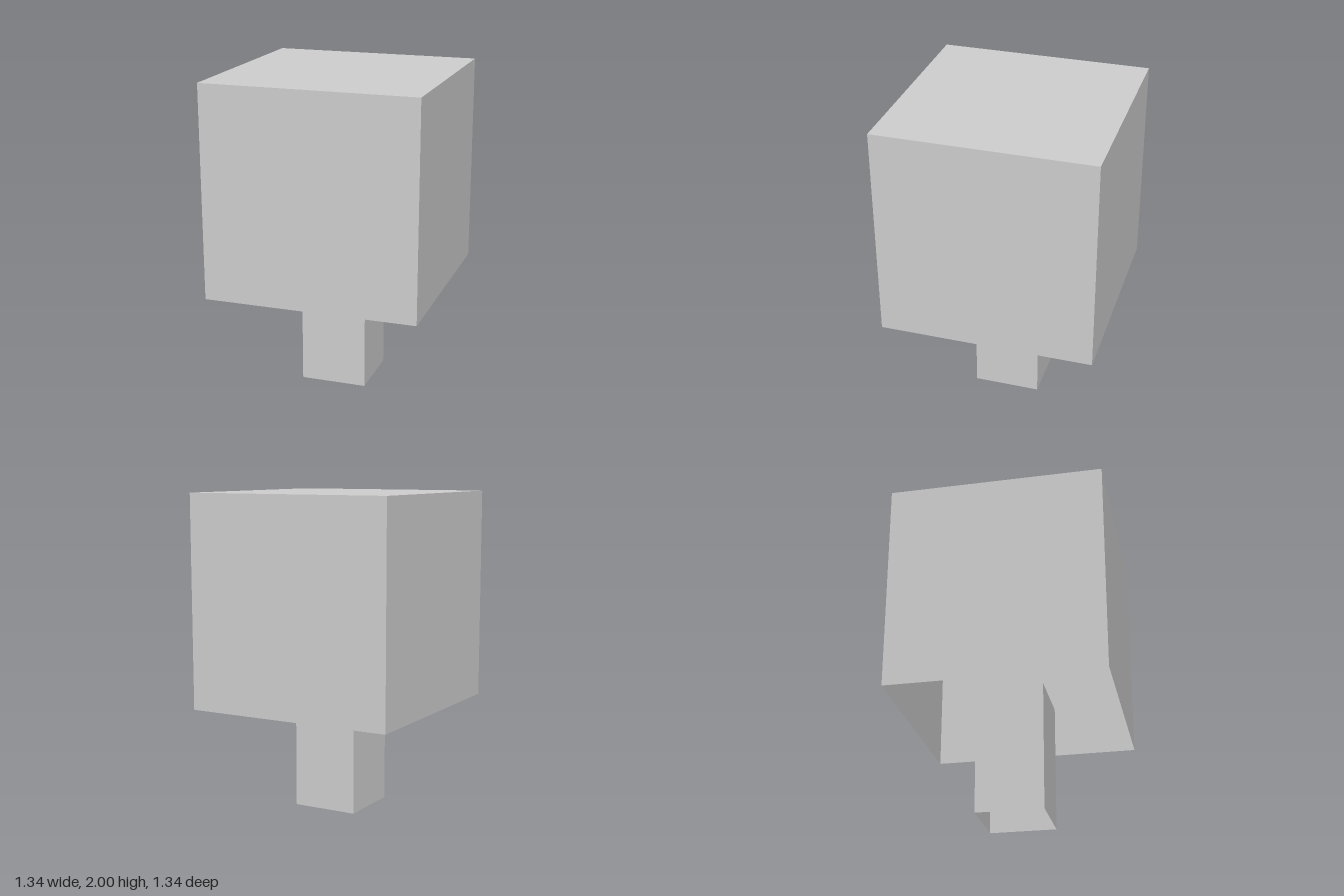
import * as THREE from 'three';

const material = new THREE.MeshStandardMaterial({ color: 0xcccccc, side: THREE.DoubleSide });

// Square block from y0 to y1 whose underside is left open
function openBlock(name, width, y0, y1) {
  const geometry = new THREE.BoxGeometry(width, y1 - y0, width);
  const index = Array.from(geometry.index.array);
  index.splice(18, 6); // drop the -y face
  geometry.setIndex(index);
  geometry.clearGroups();
  const mesh = new THREE.Mesh(geometry, material);
  mesh.name = name;
  mesh.position.y = (y0 + y1) / 2;
  return mesh;
}

export function createModel() {
  const group = new THREE.Group();
  group.name = 'blockTree';
  // Trunk reaches a little way up inside the hollow crown
  group.add(openBlock('trunk', 0.42, 0, 0.8));
  group.add(openBlock('crown', 1.34, 0.66, 2));
  return group;
}
